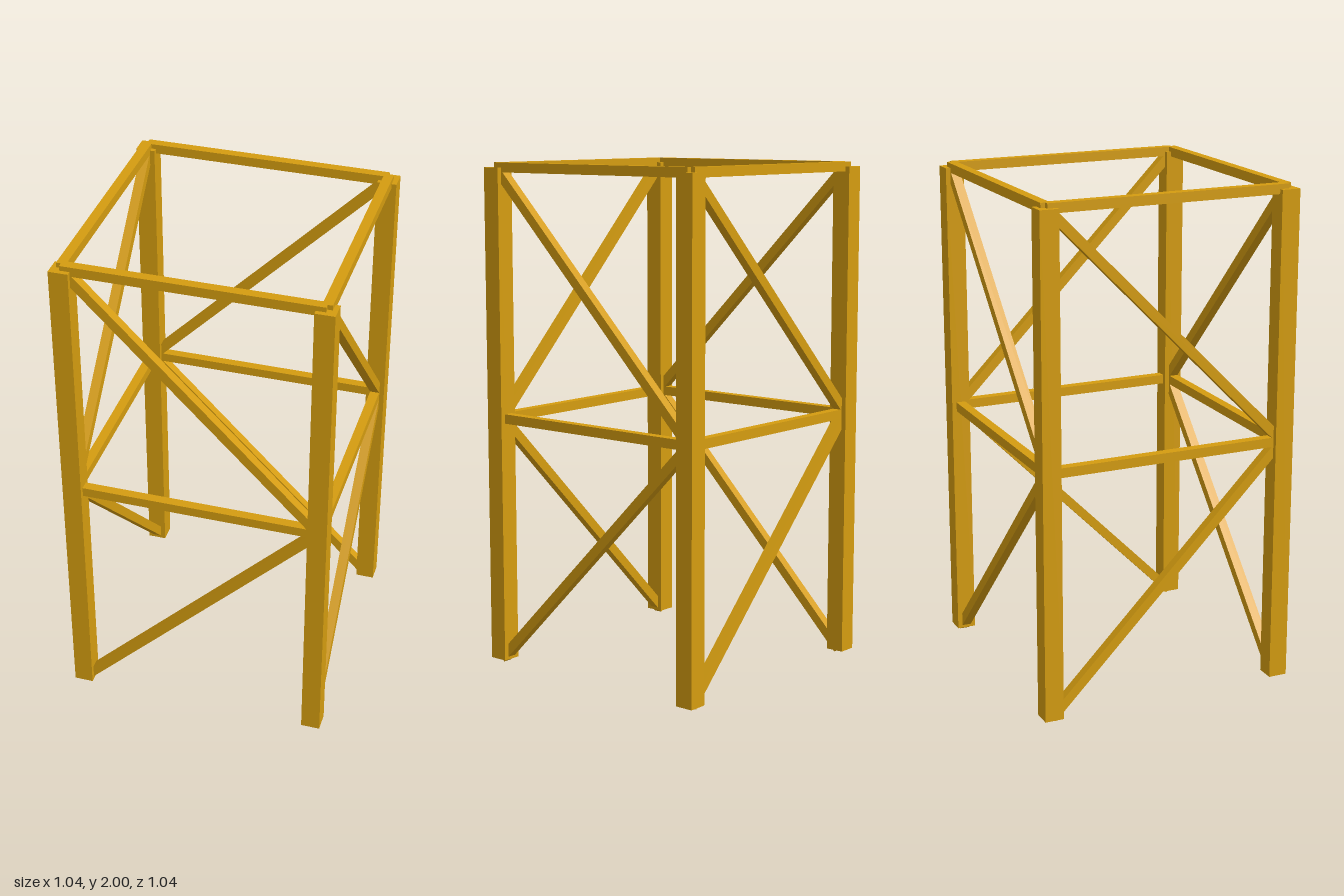
import * as THREE from 'three';

const HALF = 0.485;           // post axis distance from the centre
const LOW = 0.0135, MID = 0.9975, TOP = 1.9815; // joint heights
const POST = 0.075, BAR = 0.0375;

export function createModel() {
  const yellow = new THREE.MeshStandardMaterial({ color: 0xd49c10 });
  yellow.name = 'steelYellow';
  const model = new THREE.Group();
  model.name = 'towerSection';

  // square bar lying in a side plane, running between two (x, y) joints
  const bar = (name, x1, y1, x2, y2, size, z = HALF) => {
    const length = Math.hypot(x2 - x1, y2 - y1);
    const mesh = new THREE.Mesh(new THREE.BoxGeometry(length, size, size), yellow);
    mesh.position.set((x1 + x2) / 2, (y1 + y2) / 2, z);
    mesh.rotation.z = Math.atan2(y2 - y1, x2 - x1);
    mesh.name = name;
    return mesh;
  };

  // four equal sides, each turned a quarter about the vertical axis
  ['front', 'right', 'back', 'left'].forEach((label, i) => {
    const side = new THREE.Group();
    side.name = label + 'Side';
    side.add(
      bar('cornerPost', HALF, LOW, HALF, TOP, POST),
      bar('topRail', -HALF, TOP, HALF, TOP, BAR),
      bar('middleRail', -HALF, MID, HALF, MID, BAR),
      bar('upperBrace', -HALF, TOP, HALF, MID, BAR),
      bar('lowerBrace', -HALF, LOW, HALF, MID, BAR)
    );
    side.rotation.y = i * Math.PI / 2;
    model.add(side);
  });

  return model;
}
